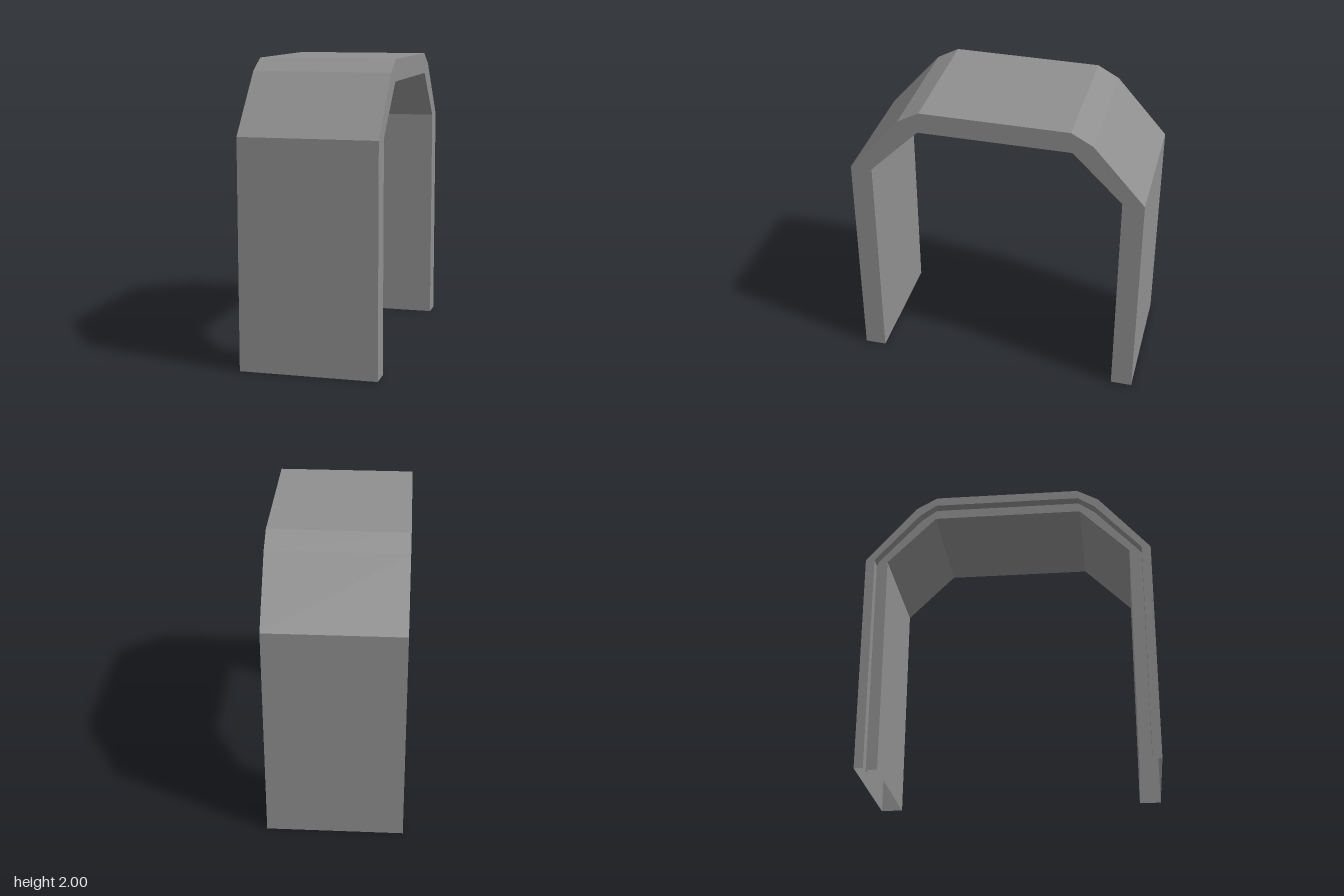
import * as THREE from 'three';

// Half profile of the arch as [z, y], from foot to crown
const OUTER = [[0.985, 0], [0.985, 1.525], [0.64, 1.92], [0.495, 2]];
const INNER = [[0.84, 0], [0.84, 1.525], [0.575, 1.79], [0.507, 1.857]];

// Wall cross-section as [x, depth], depth 0 = outer skin, 1 = inner skin.
// The -x edge has a long outer lip, a narrow groove and a shorter inner lip.
const SECTION = [
  [0.458, 0], [0.458, 1],
  [-0.418, 1], [-0.418, 0.55],
  [-0.378, 0.55], [-0.378, 0.42],
  [-0.458, 0.42], [-0.458, 0],
];

// Mirror a half profile so it runs from the front foot over to the back foot
function fullProfile(half) {
  return [...half, ...half.map(([z, y]) => [-z, y]).reverse()];
}

// Hollow shell: the section swept along the arch, open at both feet
function archGeometry() {
  const outer = fullProfile(OUTER), inner = fullProfile(INNER);
  const rings = outer.map(([z, y], i) => SECTION.map(([x, t]) => [
    x,
    THREE.MathUtils.lerp(y, inner[i][1], t),
    THREE.MathUtils.lerp(z, inner[i][0], t),
  ]));
  const positions = [];
  for (let i = 0; i < rings.length - 1; i++) {
    for (let j = 0; j < SECTION.length; j++) {
      const k = (j + 1) % SECTION.length;
      const a = rings[i][j], b = rings[i][k], c = rings[i + 1][k], d = rings[i + 1][j];
      positions.push(...a, ...b, ...c, ...a, ...c, ...d);
    }
  }
  const geometry = new THREE.BufferGeometry();
  geometry.setAttribute('position', new THREE.Float32BufferAttribute(positions, 3));
  geometry.computeVertexNormals();
  return geometry;
}

export function createModel() {
  const group = new THREE.Group();
  group.name = 'archSection';
  const material = new THREE.MeshStandardMaterial({
    color: 0x8f8f8f, flatShading: true, side: THREE.DoubleSide,
  });
  const arch = new THREE.Mesh(archGeometry(), material);
  arch.name = 'archWall';
  group.add(arch);
  return group;
}
